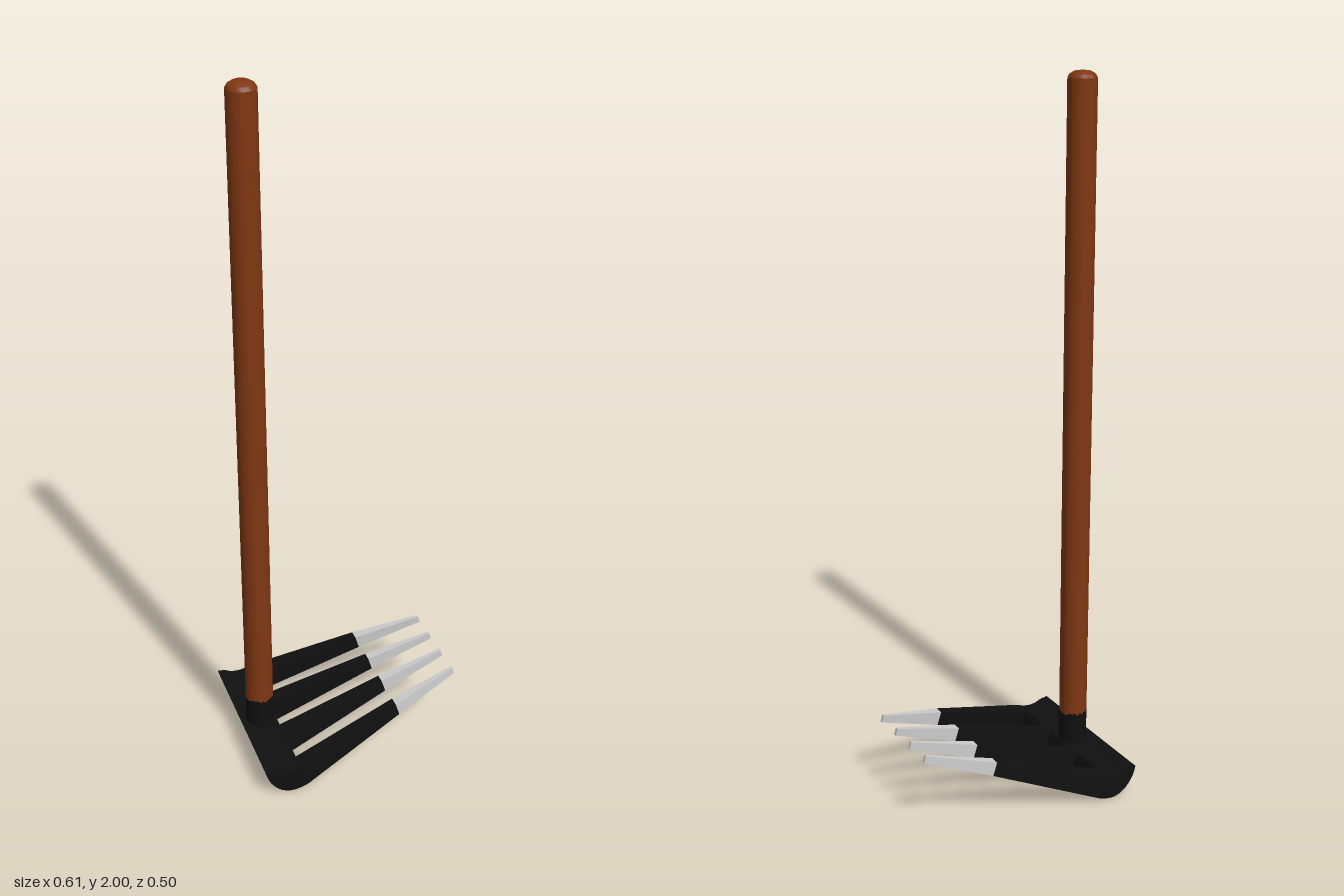
import * as THREE from 'three';
import { toCreasedNormals } from 'three/addons/utils/BufferGeometryUtils.js';

const wood = new THREE.MeshStandardMaterial({ color: 0x7f3712 });
const black = new THREE.MeshStandardMaterial({ color: 0x101010 });
const steel = new THREE.MeshStandardMaterial({ color: 0xcccccc });

function addMesh(parent, name, geometry, material) {
  const mesh = new THREE.Mesh(geometry, material);
  mesh.name = name;
  parent.add(mesh);
  return mesh;
}

// Four-sided bar between two sections { top: [x, y], bottom: [x, y], z: [min, max] }
function taperedBar(a, b) {
  const corners = (s) => [
    [...s.bottom, s.z[0]], [...s.bottom, s.z[1]],
    [...s.top, s.z[1]], [...s.top, s.z[0]],
  ];
  const A = corners(a), B = corners(b), pos = [];
  const quad = (p, q, r, s) => pos.push(...p, ...q, ...r, ...p, ...r, ...s);
  for (let i = 0; i < 4; i++) {
    const j = (i + 1) % 4;
    quad(A[i], B[i], B[j], A[j]);
  }
  quad(A[0], A[1], A[2], A[3]);
  quad(B[3], B[2], B[1], B[0]);
  const g = new THREE.BufferGeometry();
  g.setAttribute('position', new THREE.Float32BufferAttribute(pos, 3));
  g.computeVertexNormals();
  return g;
}

// Round post from a [radius, height] profile
function turned(points) {
  const lathe = new THREE.LatheGeometry(points.map(([r, y]) => new THREE.Vector2(r, y)), 32);
  return toCreasedNormals(lathe, 0.5);
}

export function createModel() {
  const model = new THREE.Group();
  model.name = 'handFork';
  const handleX = -0.25;

  // Wooden handle with a low domed end
  addMesh(model, 'handle', turned([
    [0, 0.16], [0.04, 0.16], [0.04, 1.98], [0.034, 1.99], [0.022, 1.997], [0, 2],
  ]), wood).position.x = handleX;

  // Socket joining handle and head
  addMesh(model, 'socket', turned([
    [0, 0.035], [0.04, 0.035], [0.04, 0.165], [0, 0.165],
  ]), black).position.x = handleX;

  // Curved head bar with an upturned back lip
  const profile = new THREE.Shape();
  profile.moveTo(-0.308, 0.08);
  profile.bezierCurveTo(-0.3, 0.035, -0.265, 0, -0.23, 0);
  profile.quadraticCurveTo(-0.205, 0.001, -0.185, 0.01);
  profile.lineTo(-0.205, 0.075);
  profile.quadraticCurveTo(-0.25, 0.055, -0.285, 0.076);
  profile.closePath();
  const head = new THREE.ExtrudeGeometry(profile, { depth: 0.5, bevelEnabled: false, curveSegments: 10 });
  head.translate(0, 0, -0.25);
  addMesh(model, 'headBar', toCreasedNormals(head, 0.5), black);

  // Four tines, converging and rising toward steel tips
  const base = { top: [-0.205, 0.075], bottom: [-0.185, 0.01] };
  const split = { top: [0.105, 0.168], bottom: [0.117, 0.13] };
  const tip = { top: [0.3, 0.217], bottom: [0.306, 0.197] };
  const tines = [
    { base: [0.2, 0.25], split: [0.156, 0.185], tip: [0.13, 0.14] },
    { base: [0.05, 0.1], split: [0.043, 0.07], tip: [0.04, 0.05] },
  ];
  for (const side of [-1, 1]) {
    for (const t of tines) {
      const span = ([lo, hi]) => (side > 0 ? [lo, hi] : [-hi, -lo]);
      const s0 = { ...base, z: span(t.base) };
      const s1 = { ...split, z: span(t.split) };
      const s2 = { ...tip, z: span(t.tip) };
      const tine = new THREE.Group();
      tine.name = 'tine';
      addMesh(tine, 'tineShaft', taperedBar(s0, s1), black);
      addMesh(tine, 'tineTip', taperedBar(s1, s2), steel);
      model.add(tine);
    }
  }
  return model;
}
